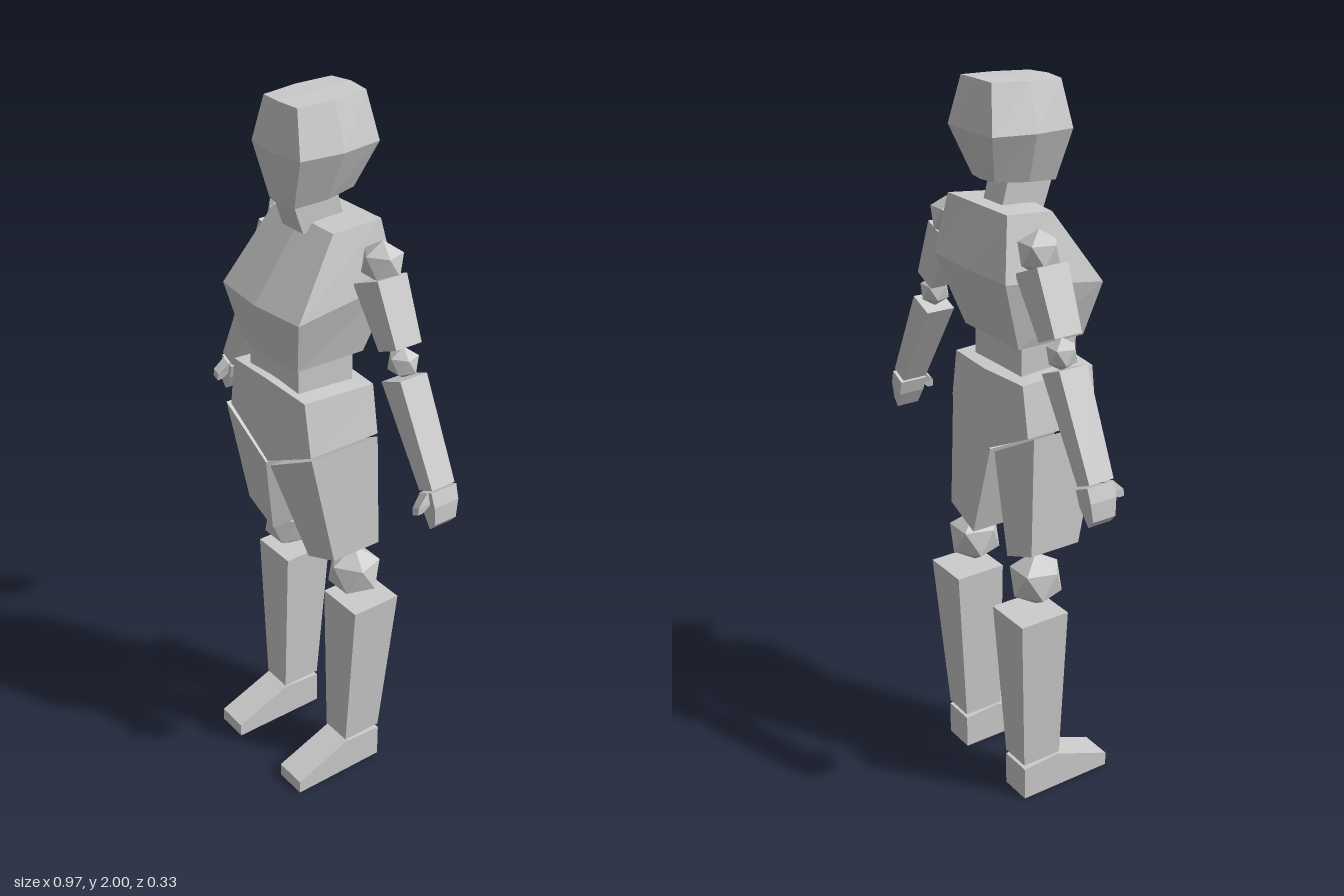
import * as THREE from 'three';

const material = new THREE.MeshStandardMaterial({ color: 0xcccccc, flatShading: true });

function part(name, geometry) {
  const mesh = new THREE.Mesh(geometry, material);
  mesh.name = name;
  return mesh;
}

// Skin a stack of rings (bottom to top, counter-clockwise from above) and cap both ends
function loft(rings, side = 1) {
  const n = rings[0].length;
  const pos = [];
  const tri = (...pts) => pts.forEach((p) => pos.push(...p));
  const r = side > 0 ? rings : rings.map((ring) => ring.map(([x, y, z]) => [-x, y, z]).reverse());
  for (let k = 0; k + 1 < r.length; k++) {
    for (let i = 0; i < n; i++) {
      const j = (i + 1) % n;
      tri(r[k][i], r[k][j], r[k + 1][j]);
      tri(r[k][i], r[k + 1][j], r[k + 1][i]);
    }
  }
  const top = r[r.length - 1];
  for (let i = 1; i + 1 < n; i++) {
    tri(r[0][0], r[0][i + 1], r[0][i]);
    tri(top[0], top[i], top[i + 1]);
  }
  const g = new THREE.BufferGeometry();
  g.setAttribute('position', new THREE.Float32BufferAttribute(pos, 3));
  g.computeVertexNormals();
  return g;
}

// Body ring: front and back each get a corner half-width, height, depth, plus a centre point
function bodyRing(front, back) {
  const [wf, yf, zf, midYf = yf, midZf = zf] = front;
  const [wb, yb, zb, midYb = yb, midZb = zb] = back;
  return [[0, midYf, midZf], [wf, yf, zf], [wb, yb, zb], [0, midYb, midZb], [-wb, yb, zb], [-wf, yf, zf]];
}

// Head ring: as above, with a bulging point on each side
function headRing(front, back, sideWidth) {
  const r = bodyRing(front, back);
  const y = (front[1] + back[1]) / 2, z = (front[2] + back[2]) / 2;
  r.splice(2, 0, [sideWidth, y, z]);
  r.splice(6, 0, [-sideWidth, y, z]);
  return r;
}

// Limb section: outer and inner edge in x,y, spanning zf (front) to zb (back)
const section = (xo, yo, xi, yi, zf, zb) => [[xo, yo, zf], [xo, yo, zb], [xi, yi, zb], [xi, yi, zf]];

// Faceted ball joint standing on one of its points
function joint(name, x, y, z, radius) {
  const g = new THREE.IcosahedronGeometry(radius, 0);
  g.rotateX(-Math.atan((1 + Math.sqrt(5)) / 2));
  const mesh = part(name, g);
  mesh.position.set(x, y, z);
  return mesh;
}

function createFoot(s) {
  const profile = new THREE.Shape([[0.168, 0], [0.168, 0.04], [-0.005, 0.108], [-0.12, 0.1], [-0.12, 0]]
    .map(([z, y]) => new THREE.Vector2(z, y)));
  const width = 0.095;
  const g = new THREE.ExtrudeGeometry(profile, { depth: width, bevelEnabled: false });
  g.rotateY(-Math.PI / 2);
  g.translate(s * 0.152 + width / 2, 0, 0);
  return part('foot', g);
}

function createArm(s) {
  const arm = new THREE.Group();
  arm.name = s > 0 ? 'leftArm' : 'rightArm';
  arm.add(
    joint('shoulder', s * 0.202, 1.61, -0.083, 0.058),
    part('upperArm', loft([
      section(0.32, 1.43, 0.253, 1.4, -0.037, -0.118),
      section(0.25, 1.59, 0.155, 1.55, -0.03, -0.122)], s)),
    joint('elbow', s * 0.297, 1.377, -0.08, 0.043),
    part('forearm', loft([
      section(0.468, 1.1, 0.42, 1.078, -0.044, -0.118),
      section(0.342, 1.355, 0.27, 1.325, -0.035, -0.12)], s)),
    part('hand', loft([
      section(0.483, 1.005, 0.464, 0.983, -0.047, -0.115),
      section(0.481, 1.055, 0.436, 1.03, -0.044, -0.122),
      section(0.468, 1.094, 0.422, 1.072, -0.042, -0.124)], s)),
    part('thumb', loft([
      section(0.463, 1.04, 0.443, 1.03, -0.006, -0.022),
      section(0.463, 1.06, 0.439, 1.05, -0.008, -0.05),
      section(0.457, 1.09, 0.43, 1.08, -0.038, -0.06)], s)),
  );
  return arm;
}

function createLeg(s) {
  const leg = new THREE.Group();
  leg.name = s > 0 ? 'leftLeg' : 'rightLeg';
  leg.add(
    part('thigh', loft([
      section(0.2, 0.777, 0.085, 0.73, 0.053, -0.1),
      section(0.195, 1.113, 0.01, 1.01, 0.125, -0.09)], s)),
    joint('knee', s * 0.153, 0.678, -0.053, 0.079),
    part('shin', loft([
      section(0.197, 0.113, 0.105, 0.113, 0, -0.12),
      section(0.23, 0.59, 0.088, 0.59, 0, -0.15)], s)),
    createFoot(s),
  );
  return leg;
}

export function createModel() {
  const model = new THREE.Group();
  model.name = 'mannequin';
  model.add(
    part('head', loft([
      headRing([0.052, 1.735, 0.073, 1.73, 0.083], [0.05, 1.752, -0.11, 1.752, -0.118], 0.066),
      headRing([0.1, 1.87, 0.09, 1.87, 0.103], [0.1, 1.875, -0.148, 1.875, -0.156], 0.117),
      headRing([0.068, 1.988, 0.075, 1.99, 0.083], [0.068, 1.997, -0.128, 2, -0.135], 0.079)])),
    part('neck', loft([
      section(0.043, 1.66, -0.043, 1.66, 0.04, -0.09),
      section(0.043, 1.75, -0.043, 1.75, 0.072, -0.065)])),
    // Chest pushed forward below, back arched at the shoulder blades
    part('chest', loft([
      bodyRing([0.122, 1.335, 0.115, 1.33, 0.125], [0.125, 1.335, -0.09]),
      bodyRing([0.165, 1.485, 0.143, 1.485, 0.16], [0.167, 1.53, -0.157, 1.53, -0.165]),
      bodyRing([0.125, 1.68, 0.01, 1.685, 0.015], [0.135, 1.692, -0.13])])),
    part('waist', loft([
      section(0.108, 1.25, -0.108, 1.25, 0.102, -0.07),
      section(0.108, 1.345, -0.108, 1.345, 0.102, -0.07)])),
    // Hips end in a V between the thighs
    part('pelvis', loft([
      bodyRing([0.182, 1.112, 0.118, 1.02, 0.126], [0.182, 1.112, -0.1, 1.02, -0.1]),
      bodyRing([0.158, 1.26, 0.12, 1.27, 0.128], [0.158, 1.25, -0.1, 1.25, -0.112])])),
  );
  for (const s of [1, -1]) model.add(createArm(s), createLeg(s));
  return model;
}
